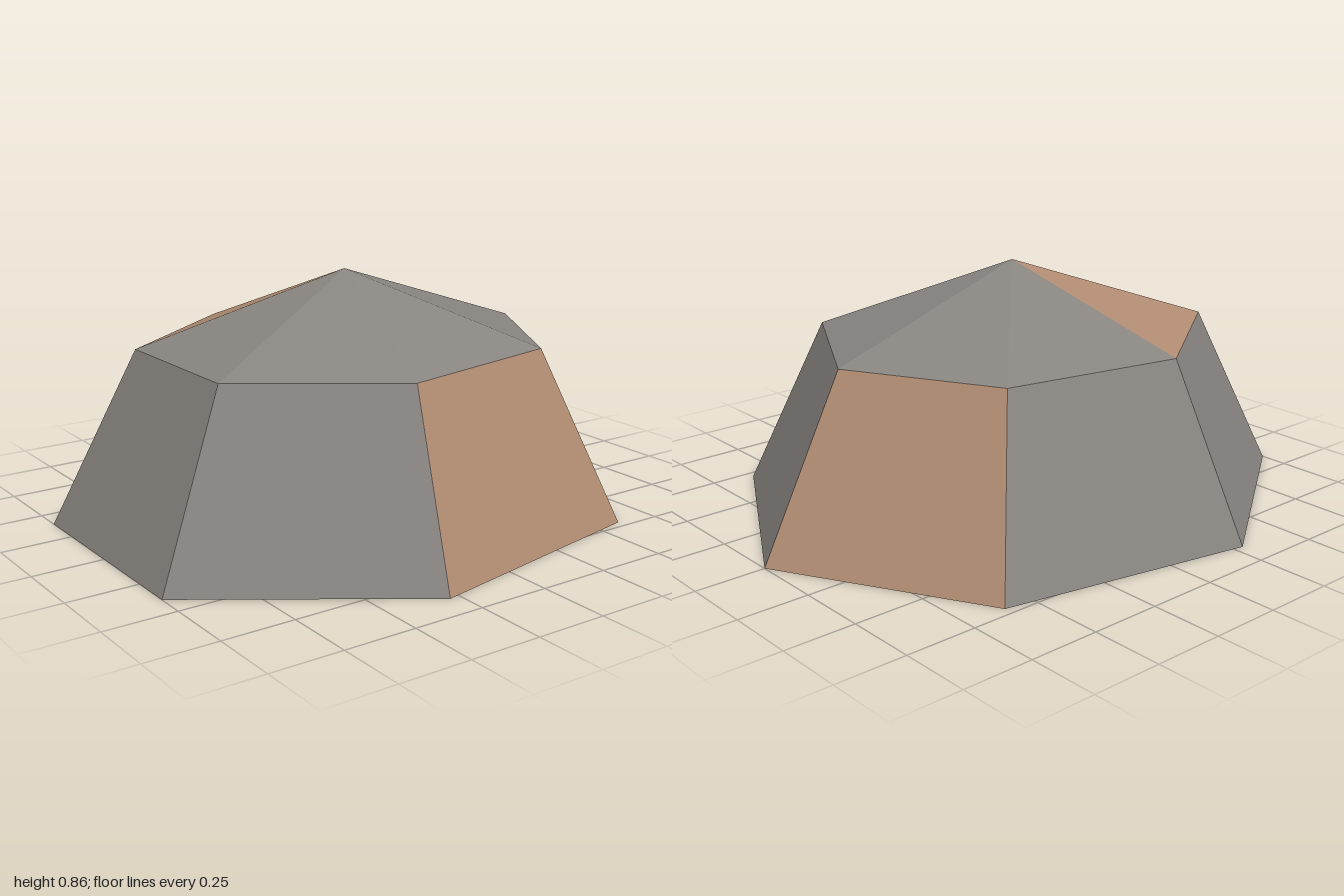
import * as THREE from 'three';

const SIDES = 7;
const CENTER_X = -0.052;
const DEPTH = 0.871; // the heptagon is slightly squashed in z

// Corner of a heptagonal ring, with one corner pointing to +x
function corner(i, radius, y) {
  const a = (i / SIDES) * Math.PI * 2;
  return [CENTER_X + Math.cos(a) * radius, y, Math.sin(a) * radius * DEPTH];
}

// Flat convex panel from its corners
function panel(name, corners, material) {
  const points = [];
  for (let k = 1; k < corners.length - 1; k++) {
    points.push(...corners[0], ...corners[k], ...corners[k + 1]);
  }
  const geometry = new THREE.BufferGeometry();
  geometry.setAttribute('position', new THREE.Float32BufferAttribute(points, 3));
  geometry.computeVertexNormals();
  const mesh = new THREE.Mesh(geometry, material);
  mesh.name = name;
  return mesh;
}

export function createModel() {
  const stone = new THREE.MeshStandardMaterial({ name: 'warm grey', color: 0x888480, flatShading: true });
  const clay = new THREE.MeshStandardMaterial({ name: 'tan brown', color: 0xb08c72, flatShading: true });

  const model = new THREE.Group();
  model.name = 'heptagonalDome';
  const walls = new THREE.Group();
  walls.name = 'walls';
  const roof = new THREE.Group();
  roof.name = 'roof';
  model.add(walls, roof);

  const bottom = [], top = [];
  for (let i = 0; i < SIDES; i++) {
    bottom.push(corner(i, 1.052, 0));
    top.push(corner(i, 0.742, 0.605));
  }
  const apex = [CENTER_X, 0.855, 0];

  // Sloping walls and roof segments; a few are tan
  for (let i = 0; i < SIDES; i++) {
    const j = (i + 1) % SIDES;
    walls.add(panel('wallPanel', [bottom[i], top[i], top[j], bottom[j]], i === 1 || i === 6 ? clay : stone));
    roof.add(panel('roofPanel', [top[i], apex, top[j]], i === 4 ? clay : stone));
  }

  // Underside
  model.add(panel('base', bottom, stone));
  return model;
}
